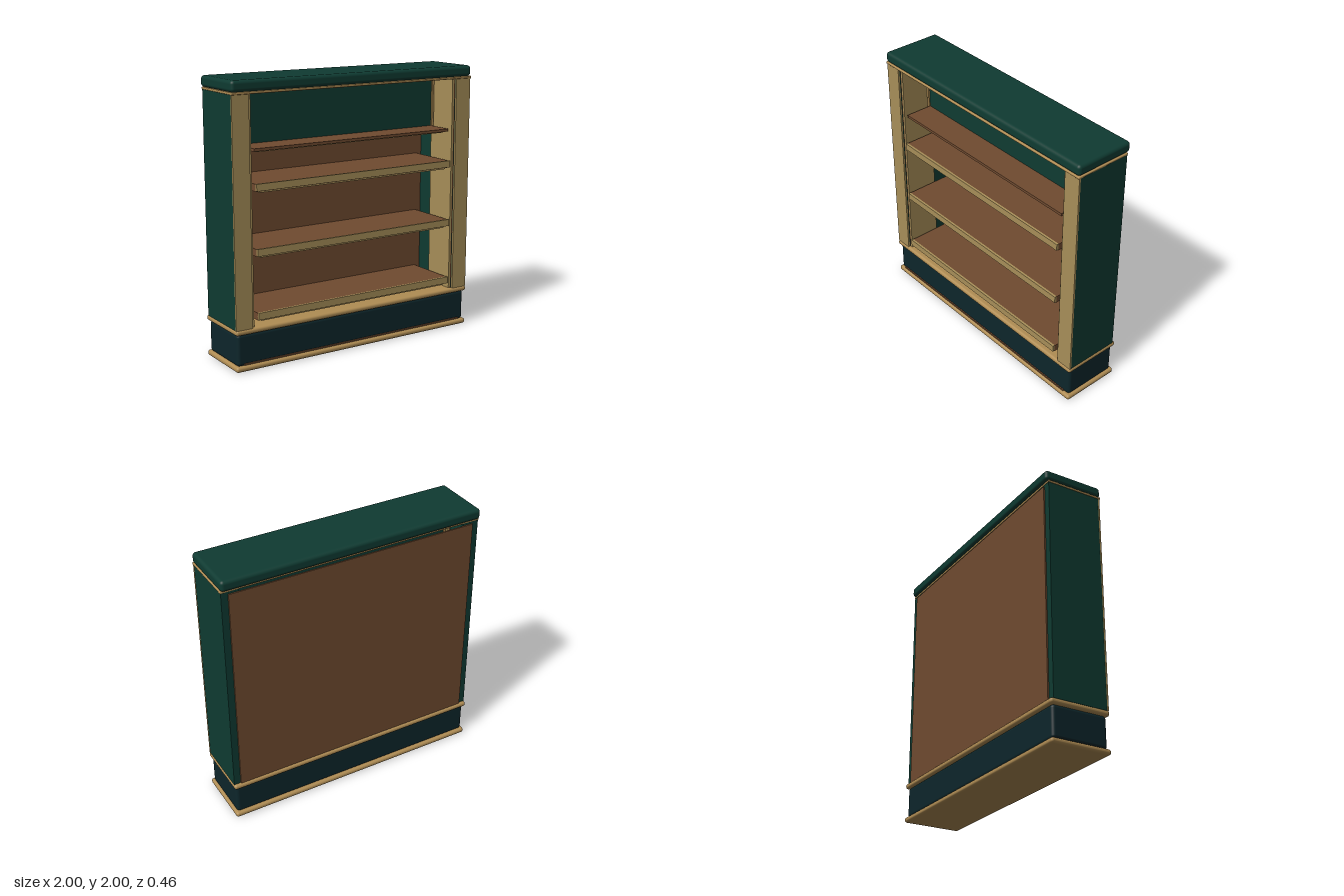
import * as THREE from 'three';
import { RoundedBoxGeometry } from 'three/addons/geometries/RoundedBoxGeometry.js';

const material = (name, color) => Object.assign(new THREE.MeshStandardMaterial({ color }), { name });

export function createModel() {
  const group = new THREE.Group();
  const green = material('deep green', 0x0f3b32);
  const navy = material('dark navy', 0x0d262b);
  const brass = material('pale brass', 0xa88f59);
  const trim = material('warm brass', 0xb08d54);
  const wood = material('brown wood', 0x704b30);

  // Box from its min and max on each axis, optionally with rounded edges
  function box(name, mat, [x0, x1], [y0, y1], [z0, z1], radius = 0) {
    const size = [x1 - x0, y1 - y0, z1 - z0];
    const geometry = radius
      ? new RoundedBoxGeometry(...size, 4, radius)
      : new THREE.BoxGeometry(...size);
    const mesh = new THREE.Mesh(geometry, mat);
    mesh.name = name;
    mesh.position.set((x0 + x1) / 2, (y0 + y1) / 2, (z0 + z1) / 2);
    group.add(mesh);
    return mesh;
  }
  const wide = (w) => [-w, w];

  // Plinth between two rounded mouldings
  box('baseMoulding', trim, wide(1), [0, 0.04], wide(0.228), 0.018);
  box('plinth', navy, wide(0.985), [0.035, 0.268], wide(0.21), 0.025);
  box('plinthAccent', wood, wide(0.935), [0.045, 0.056], [0.205, 0.218]);
  box('upperMoulding', trim, wide(1), [0.263, 0.303], wide(0.228), 0.018);

  // Top cap and the thin moulding beneath it
  box('capMoulding', trim, wide(1), [1.905, 1.922], [-0.208, 0.228], 0.006);
  box('topCap', green, wide(1), [1.92, 2], wide(0.228), 0.025);

  // Side walls with front pilasters and half-depth inner linings
  for (const s of [-1, 1]) {
    const span = (a, b) => (s > 0 ? [a, b] : [-b, -a]);
    box('sideWall', green, span(0.87, 0.995), [0.3, 1.906], [-0.205, 0.208]);
    box('pilaster', brass, span(0.868, 0.997), [0.3, 1.906], [0.208, 0.22]);
    box('innerLining', brass, span(0.847, 0.862), [0.3, 1.906], [-0.05, 0.2]);
    box('liningSeam', wood, span(0.862, 0.87), [0.3, 1.906], [-0.05, 0.2]);
  }

  // Back panel, leaving a slit under the cap
  box('backPanel', wood, wide(0.945), [0.303, 1.89], [-0.215, -0.204]);

  // Shelves with brass lips and a thin strip below
  for (const y of [0.35, 0.8, 1.25]) {
    box('shelf', wood, wide(0.822), [y - 0.005, y + 0.047], [-0.204, 0.206]);
    box('shelfLip', brass, wide(0.822), [y, y + 0.05], [0.205, 0.222]);
    box('shelfStrip', brass, wide(0.79), [y - 0.015, y - 0.005], [0.18, 0.2]);
  }

  // Shallow top ledge
  box('topLedge', wood, wide(0.822), [1.515, 1.535], [-0.02, 0.19]);
  box('ledgeStrip', brass, wide(0.79), [1.507, 1.515], [0.15, 0.17]);

  // Framed header panel above the ledge
  box('headerPanel', green, wide(0.82), [1.535, 1.877], [-0.04, -0.02]);
  box('headerFrameTop', trim, wide(0.838), [1.877, 1.89], [-0.042, -0.008]);
  box('headerFrameBottom', wood, wide(0.838), [1.523, 1.535], [-0.042, -0.008]);
  for (const x of [-0.829, 0.829])
    box('headerFrameSide', trim, [x - 0.009, x + 0.009], [1.535, 1.877], [-0.042, -0.008]);

  return group;
}
